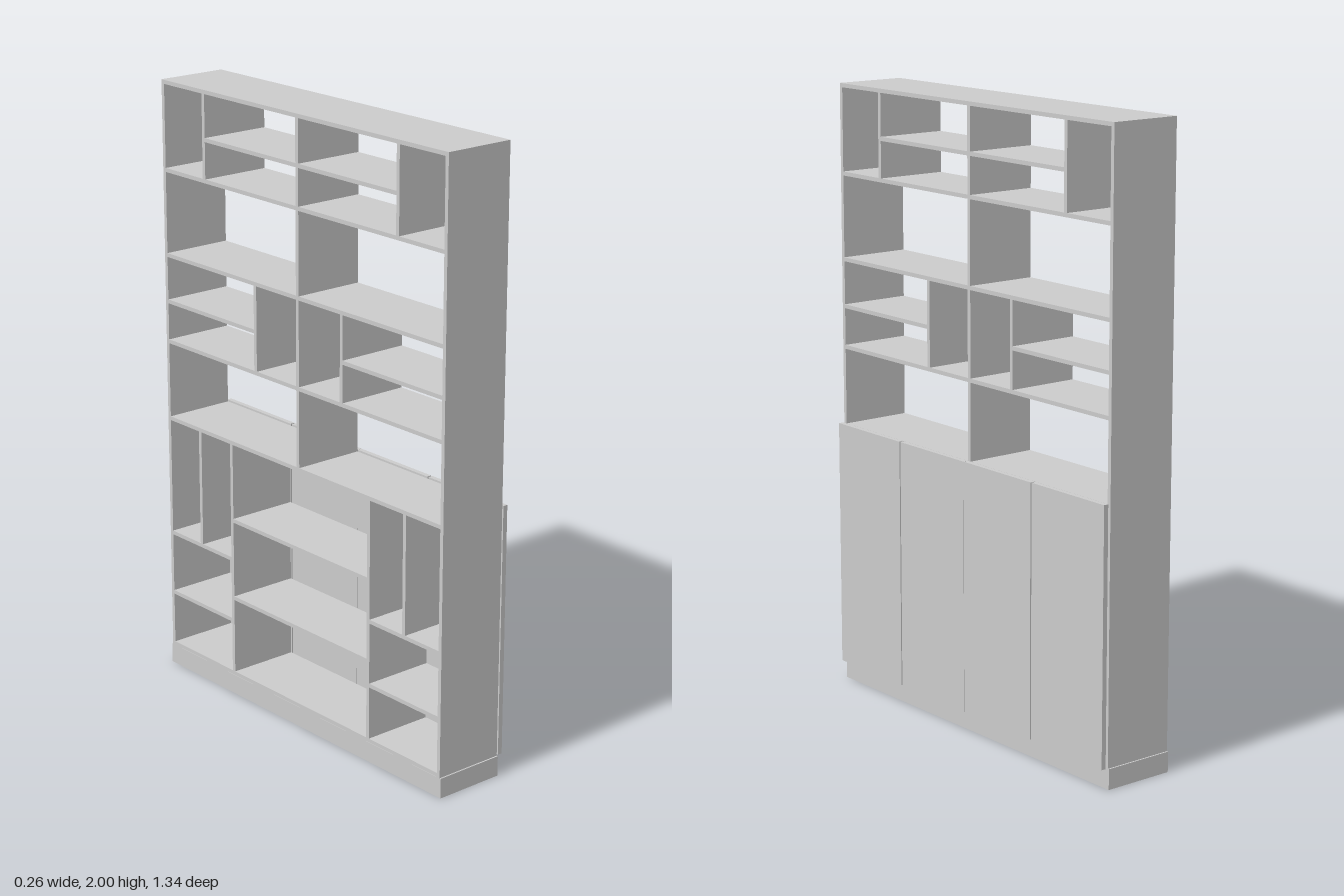
import * as THREE from 'three';

export function createModel() {
  const group = new THREE.Group();
  group.name = 'bookcase';
  const material = new THREE.MeshStandardMaterial({ color: 0xcccccc });
  const T = 0.013;               // board thickness
  const X0 = -0.132, X1 = 0.107; // carcass depth
  const W = 0.664;               // half width

  // Box from its limits along x, y and z
  function box(name, x0, x1, y0, y1, z0, z1) {
    const mesh = new THREE.Mesh(new THREE.BoxGeometry(x1 - x0, y1 - y0, z1 - z0), material);
    mesh.position.set((x0 + x1) / 2, (y0 + y1) / 2, (z0 + z1) / 2);
    mesh.name = name;
    group.add(mesh);
  }
  // Horizontal board centred on height y
  const shelf = (name, y, z0, z1) => box(name, X0, X1, y - T / 2, y + T / 2, z0, z1);
  // Upright board centred on z
  const upright = (name, z, y0, y1) => box(name, X0, X1, y0, y1, z - T / 2, z + T / 2);

  // Plinth, cabinet floor, cabinet top and crown
  box('plinth', X0, X1, 0, 0.066, -0.669, 0.669);
  shelf('cabinetFloor', 0.073, -W + T, W - T);
  shelf('cabinetTop', 0.876, -W + T, W - T);
  shelf('topBoard', 1.9935, -W + T, W - T);

  // Full-width shelves of the open upper part
  for (const y of [1.14, 1.43, 1.71]) shelf('wideShelf', y, -W + T, W - T);
  upright('centreDivider', 0, 0.882, 1.987);

  // Middle shelves of the closed lower part
  for (const y of [0.34, 0.61]) shelf('cabinetMiddleShelf', y, -0.33, 0.33);

  // Mirrored halves
  for (const s of [-1, 1]) {
    const span = (name, y, a, b) => shelf(name, y, Math.min(s * a, s * b), Math.max(s * a, s * b));

    upright('lowerSidePanel', s * (W - T / 2), 0.066, 0.882);
    upright('upperSidePanel', s * (W - T / 2), 0.882, 2);

    // Small shelves and dividers of the upper part
    upright('upperDivider', s * 0.453, 1.716, 1.987);
    span('upperSmallShelf', 1.842, T / 2, 0.447);
    upright('middleDivider', s * 0.205, 1.146, 1.424);
    span('middleSmallShelf', 1.275, 0.211, W - T);

    // Side columns of the lower part
    upright('cabinetDivider', s * 0.333, 0.079, 0.87);
    upright('narrowDivider', s * 0.495, 0.48, 0.87);
    for (const y of [0.26, 0.474]) span('cabinetSideShelf', y, 0.339, W - T);

    // Two doors per side, standing slightly off the carcass
    for (const [a, b] of [[0.0007, 0.326], [0.331, 0.662]])
      box('door', 0.114, 0.13, 0.066, 0.885, Math.min(s * a, s * b), Math.max(s * a, s * b));
  }
  return group;
}
